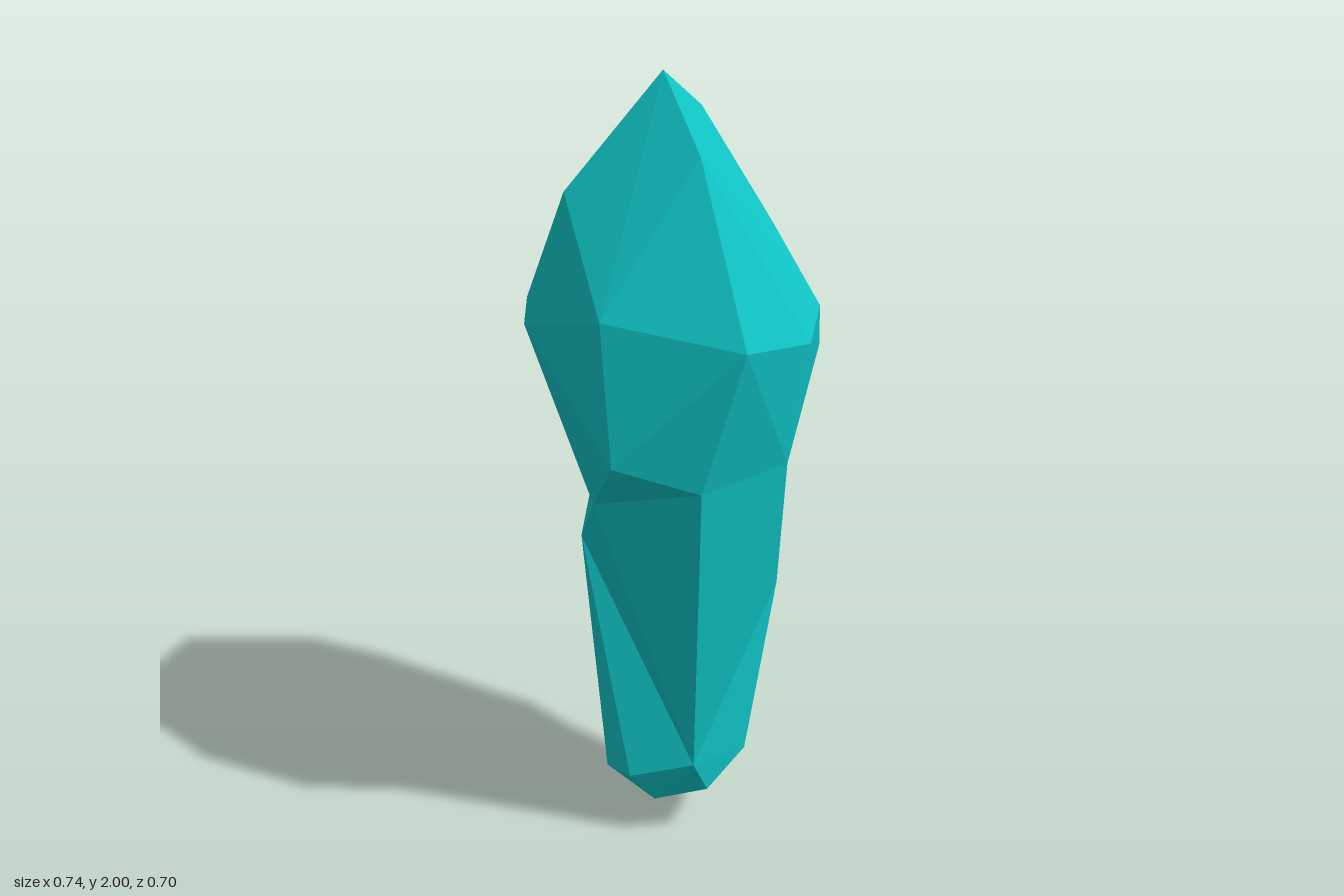
import * as THREE from 'three';
import { ConvexGeometry } from 'three/addons/geometries/ConvexGeometry.js';

// Irregular cross-section rings of the shard, from the peak down to the foot
const peak = [[0, 2, 0.05], [-0.02, 1.89, -0.08], [0.165, 1.83, 0.065]];
const crown = [
  [0.12, 1.62, -0.185], [-0.22, 1.69, -0.195], [-0.33, 1.74, -0.04],
  [-0.37, 1.58, 0.1], [-0.1, 1.72, 0.27],
];
const shoulder = [
  [0.37, 1.41, 0.085], [0.355, 1.385, -0.12], [0.28, 1.44, -0.21],
  [0.115, 1.255, -0.355], [-0.34, 1.41, -0.215], [-0.365, 1.365, 0.21],
  [-0.165, 1.385, 0.35], [0.125, 1.47, 0.33], [0.165, 1.11, 0.33],
];
const waist = [
  [0.29, 1.04, 0.155], [0.32, 1.07, -0.085], [0.015, 0.895, -0.315],
  [-0.316, 1.14, -0.217], [-0.36, 0.975, -0.02], [0, 0.94, 0.27],
];
const knee = [
  [0.18, 0.66, -0.175], [-0.03, 0.6, -0.21], [-0.21, 0.665, -0.107],
  [-0.26, 0.71, 0.13], [0.215, 0.235, 0.12],
];
const foot = [
  [0.18, 0.2, -0.075], [-0.01, 0.09, -0.075], [-0.12, 0.21, -0.017],
  [-0.085, 0.11, 0.18], [0.075, 0.17, 0.22], [0.1, 0.09, 0.16],
  [0.195, 0.13, 0.06], [-0.07, 0, 0.03], [-0.12, 0.01, 0.04],
];

export function createModel() {
  const group = new THREE.Group();
  group.name = 'crystalShard';
  const material = new THREE.MeshStandardMaterial({ color: 0x10c4c6, flatShading: true });

  // Each faceted section is the hull of neighbouring rings
  const section = (name, ...rings) => {
    const points = rings.flat().map((p) => new THREE.Vector3(...p));
    const mesh = new THREE.Mesh(new ConvexGeometry(points), material);
    mesh.name = name;
    group.add(mesh);
  };

  section('upperShard', peak, crown, shoulder, waist);
  section('middleShard', waist, knee);
  section('lowerShard', knee, foot); // meets the middle in a slanted crease
  return group;
}
